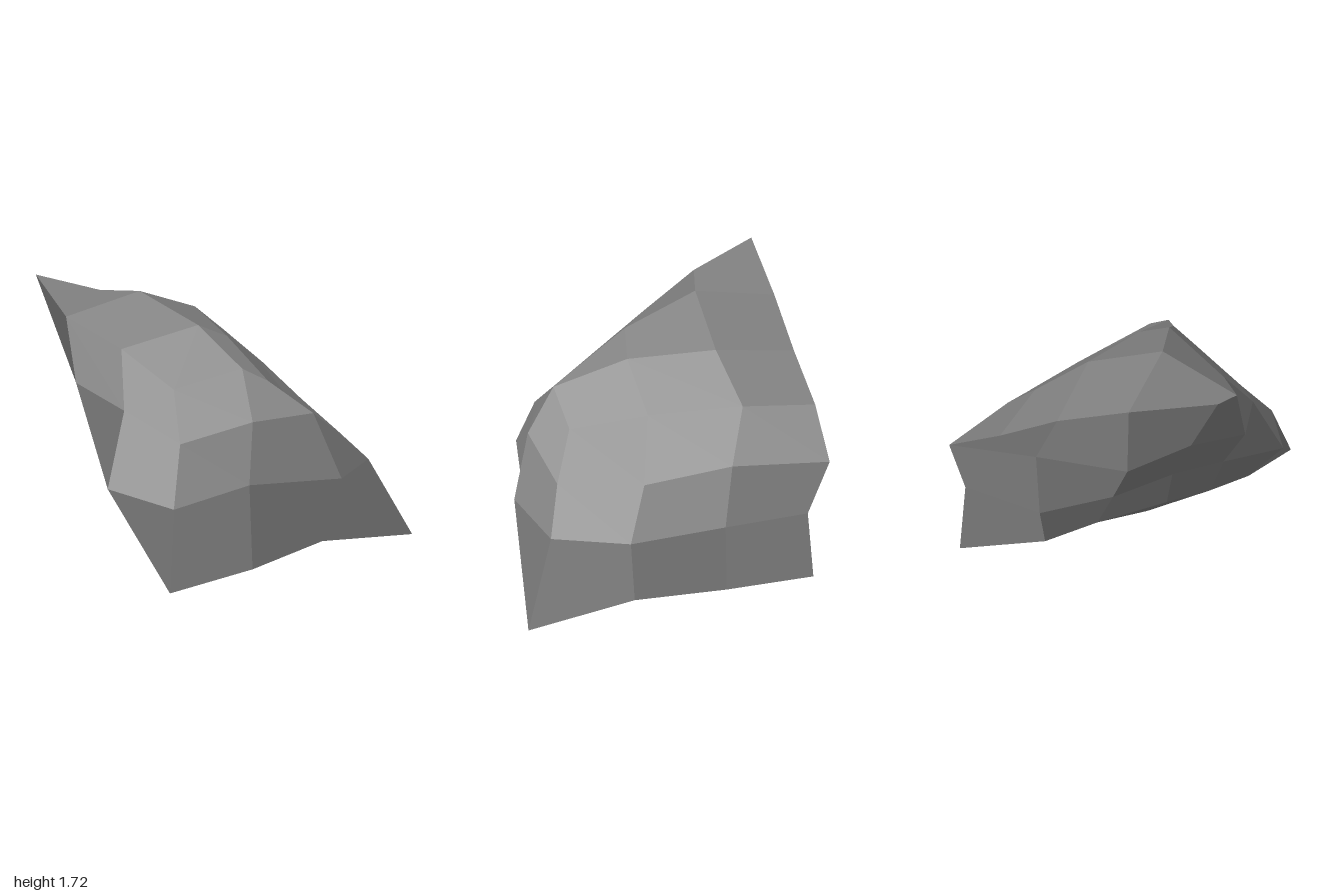
import * as THREE from 'three';

// Four rings of twelve corners, bottom to top, each from front left
// along the front, the +x side, the back and the -x side.
const RINGS = [
  [[-0.94, 0.07, 0.9], [-0.32, 0.06, 0.9], [0.28, 0.09, 0.87], [1, 0, 0.98],
   [0.92, 0.07, 0.27], [0.92, 0.06, -0.35], [0.91, 0.07, -0.95], [0.335, 0.19, -0.79],
   [0.02, 0.32, -0.62], [-0.4, 0.47, -0.42], [-0.58, 0.3, -0.02], [-0.76, 0.2, 0.34]],
  [[-0.8, 0.52, 0.74], [-0.29, 0.59, 0.82], [0.33, 0.55, 0.98], [0.75, 0.54, 0.78],
   [0.92, 0.57, 0.29], [0.885, 0.585, -0.33], [0.85, 0.59, -0.885], [0.29, 0.58, -0.93],
   [-0.14, 0.69, -0.73], [-0.47, 0.82, -0.53], [-0.7, 0.7, -0.15], [-1, 0.56, 0.3]],
  [[-0.61, 0.84, 0.53], [-0.2, 0.96, 0.73], [0.19, 0.98, 0.85], [0.5, 0.78, 0.7],
   [0.67, 0.83, 0.16], [0.75, 0.97, -0.39], [0.87, 1.02, -0.985], [0.29, 1.05, -0.93],
   [-0.29, 1.05, -0.86], [-0.63, 1.21, -0.67], [-0.87, 1.09, -0.3], [-0.79, 1, 0.17]],
  [[-0.5, 1.12, 0.3], [-0.11, 1.24, 0.5], [-0.02, 1.18, 0.65], [0.22, 1, 0.58],
   [0.35, 1.14, 0.08], [0.48, 1.23, -0.51], [0.5, 1.2, -0.985], [0.13, 1.38, -0.935],
   [-0.32, 1.55, -0.91], [-0.84, 1.72, -0.87], [-0.84, 1.5, -0.46], [-0.65, 1.33, -0.08]],
];

// Inner corners of the top and the underside: front pair, back pair
const TOP = [[-0.2, 1.47, 0.14], [0.02, 1.37, 0.16], [-0.33, 1.63, -0.36], [0.15, 1.46, -0.4]];
const UNDER = [[-0.31, 0.07, 0.29], [0.3, 0.08, 0.28], [-0.18, 0.13, -0.2], [0.32, 0.05, -0.35]];

function rockGeometry() {
  const positions = [];
  const normals = [];

  // One four-cornered facet, split from a to c and shaded as a single face
  const quad = (...corners) => {
    const [a, b, c, d] = corners.map((p) => new THREE.Vector3(...p));
    const normal = c.clone().sub(a).cross(d.clone().sub(b)).normalize();
    for (const p of [a, b, c, a, c, d]) {
      positions.push(p.x, p.y, p.z);
      normals.push(normal.x, normal.y, normal.z);
    }
  };

  // Sides
  for (let k = 0; k < 3; k++) {
    for (let i = 0; i < 12; i++) {
      const j = (i + 1) % 12;
      quad(RINGS[k][j], RINGS[k + 1][j], RINGS[k + 1][i], RINGS[k][i]);
    }
  }

  // Top and underside, each a grid of three by three facets
  const cap = (r, n, flip) => {
    const grid = [
      [r[0], r[1], r[2], r[3]],
      [r[11], n[0], n[1], r[4]],
      [r[10], n[2], n[3], r[5]],
      [r[9], r[8], r[7], r[6]],
    ];
    for (let j = 0; j < 3; j++) {
      for (let i = 0; i < 3; i++) {
        const f = [grid[j][i], grid[j][i + 1], grid[j + 1][i + 1], grid[j + 1][i]];
        quad(...(flip ? f.reverse() : f));
      }
    }
  };
  cap(RINGS[3], TOP, false);
  cap(RINGS[0], UNDER, true);

  const geometry = new THREE.BufferGeometry();
  geometry.setAttribute('position', new THREE.Float32BufferAttribute(positions, 3));
  geometry.setAttribute('normal', new THREE.Float32BufferAttribute(normals, 3));
  return geometry;
}

export function createModel() {
  const stone = new THREE.MeshStandardMaterial({ color: 0x808080 });
  stone.name = 'grey stone';
  const rock = new THREE.Mesh(rockGeometry(), stone);
  rock.name = 'rock';
  const group = new THREE.Group();
  group.name = 'boulder';
  group.add(rock);
  return group;
}
